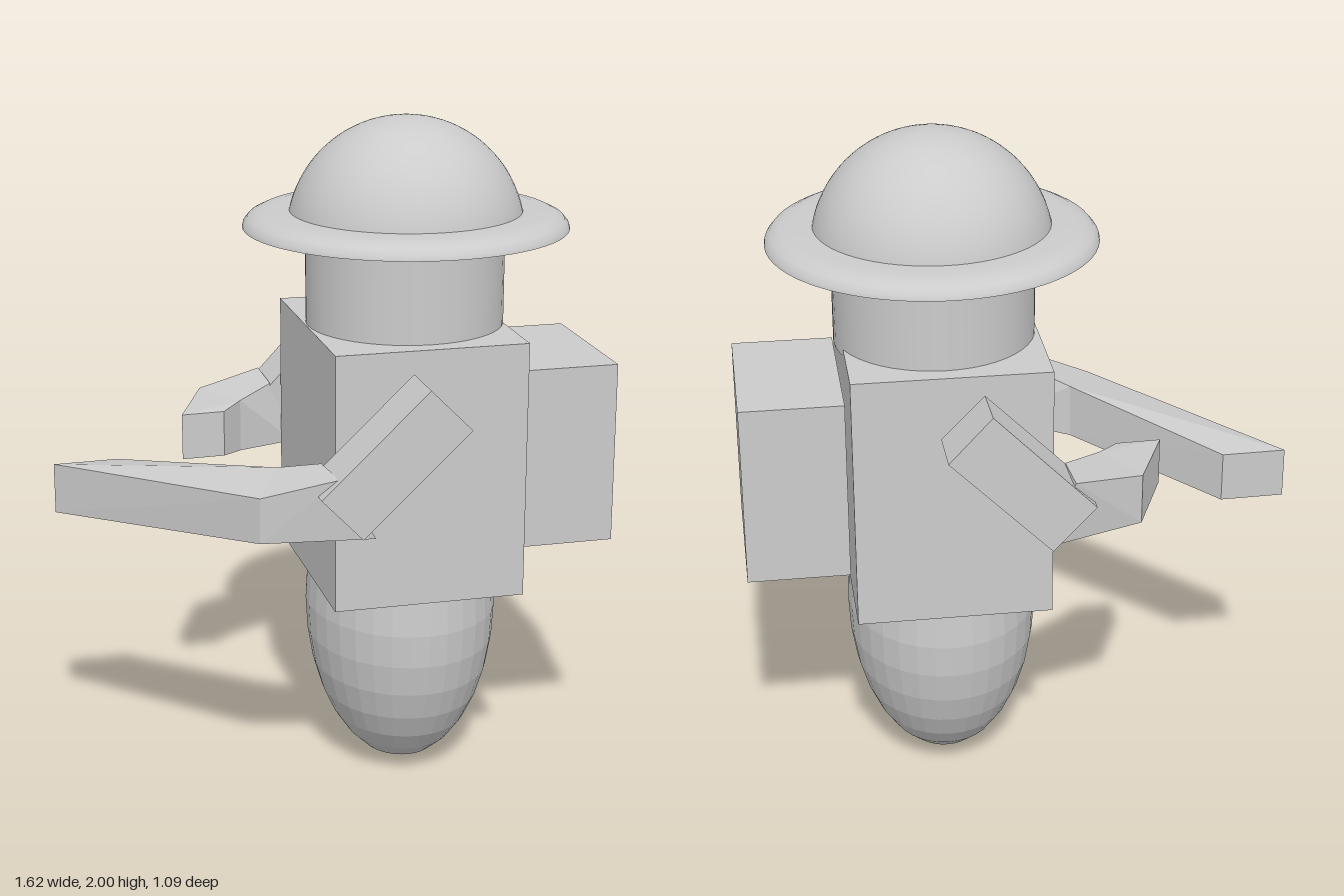
import * as THREE from 'three';

const grey = (opts = {}) => new THREE.MeshStandardMaterial({ color: 0xcccccc, ...opts });

function add(parent, name, geometry, material, x = 0, y = 0, z = 0) {
  const mesh = new THREE.Mesh(geometry, material);
  mesh.name = name;
  mesh.position.set(x, y, z);
  parent.add(mesh);
  return mesh;
}

// Closed solid through four-cornered cross-sections, flat shaded
function loft(sections) {
  const tris = [];
  const quad = (a, b, c, d) => tris.push([a, b, c], [a, c, d]);
  for (let s = 0; s < sections.length - 1; s++) {
    const p = sections[s], q = sections[s + 1];
    for (let i = 0; i < 4; i++) {
      const j = (i + 1) % 4;
      quad(p[i], p[j], q[j], q[i]);
    }
  }
  const first = sections[0], last = sections[sections.length - 1];
  quad(first[3], first[2], first[1], first[0]);
  quad(...last);
  // Turn all faces outward whichever way round the corners run
  const v = (p) => new THREE.Vector3(...p);
  const volume = tris.reduce((sum, [a, b, c]) => sum + v(a).dot(v(b).cross(v(c))), 0);
  if (volume < 0) tris.forEach((t) => t.reverse());
  const geometry = new THREE.BufferGeometry();
  geometry.setAttribute('position', new THREE.Float32BufferAttribute(tris.flat(2), 3));
  geometry.computeVertexNormals();
  return geometry;
}

export function createModel() {
  const model = new THREE.Group();
  model.name = 'figure';
  const flat = grey({ flatShading: true });
  const cx = 0.22, cz = 0.01;

  // Egg-shaped lower body, its top hidden in the torso
  add(model, 'lowerBody', new THREE.SphereGeometry(1, 32, 16), flat, cx, 0.52, cz)
    .scale.set(0.285, 0.515, 0.337);

  // Torso and backpack
  add(model, 'torso', new THREE.BoxGeometry(0.57, 0.765, 0.69), flat, 0.215, 1.0125, cz);
  add(model, 'backpack', new THREE.BoxGeometry(0.3, 0.545, 0.49), flat, 0.66, 1.0125, cz);

  // Head
  add(model, 'head', new THREE.CylinderGeometry(0.292, 0.292, 0.375, 48), grey(), 0.227, 1.5625, cz);

  // Hat: thin hollow shell with a curled brim, and a domed crown
  const brim = [[0.477, 1.68], [0.474, 1.692], [0.46, 1.709], [0.435, 1.721], [0.4, 1.727], [0.335, 1.727]]
    .map(([r, y]) => new THREE.Vector2(r, y));
  const hat = new THREE.Group();
  hat.name = 'hat';
  hat.position.set(0.228, 0, cz);
  model.add(hat);
  const shell = grey({ side: THREE.DoubleSide });
  add(hat, 'brim', new THREE.LatheGeometry(brim, 64), shell);
  const R = 0.348, crownAngle = Math.acos((1.727 - 1.652) / R);
  add(hat, 'crown', new THREE.SphereGeometry(R, 64, 20, 0, Math.PI * 2, 0, crownAngle), shell, 0, 1.652, 0);

  // Arm on the +z side; corners run top inner, top outer, bottom outer, bottom inner
  const frontArm = new THREE.Group();
  frontArm.name = 'frontArm';
  add(frontArm, 'upperArm', loft([
    [[0.153, 1.333, 0.375], [0.153, 1.333, 0.545], [0.275, 1.21, 0.545], [0.275, 1.21, 0.375]],
    [[-0.157, 1.04, 0.375], [-0.157, 1.04, 0.545], [-0.037, 0.915, 0.545], [-0.037, 0.915, 0.375]],
  ]), flat);
  add(frontArm, 'forearm', loft([
    [[-0.115, 1.09, 0.37], [-0.1, 1.09, 0.525], [0, 0.915, 0.54], [0, 0.92, 0.38]],
    [[-0.225, 1.06, 0.285], [-0.31, 1.03, 0.455], [-0.31, 0.895, 0.45], [-0.225, 0.895, 0.28]],
    [[-0.62, 0.99, -0.115], [-0.81, 0.99, -0.11], [-0.81, 0.84, -0.11], [-0.62, 0.84, -0.115]],
  ]), flat);

  // Arm on the -z side, shorter and slightly tilted
  const rearArm = new THREE.Group();
  rearArm.name = 'rearArm';
  add(rearArm, 'upperArm', loft([
    [[0.13, 1.35, -0.365], [0.13, 1.36, -0.533], [0.255, 1.235, -0.547], [0.255, 1.23, -0.378]],
    [[-0.165, 1.05, -0.345], [-0.165, 1.055, -0.513], [-0.04, 0.93, -0.523], [-0.04, 0.925, -0.355]],
  ]), flat);
  add(rearArm, 'forearm', loft([
    [[-0.1, 1.12, -0.355], [-0.105, 1.13, -0.505], [-0.03, 0.94, -0.51], [-0.03, 0.93, -0.35]],
    [[-0.215, 1.1, -0.26], [-0.31, 1.1, -0.425], [-0.31, 0.95, -0.425], [-0.215, 0.94, -0.26]],
    [[-0.28, 1.09, -0.19], [-0.41, 1.09, -0.185], [-0.41, 0.95, -0.185], [-0.28, 0.95, -0.19]],
  ]), flat);

  model.add(frontArm, rearArm);
  return model;
}
